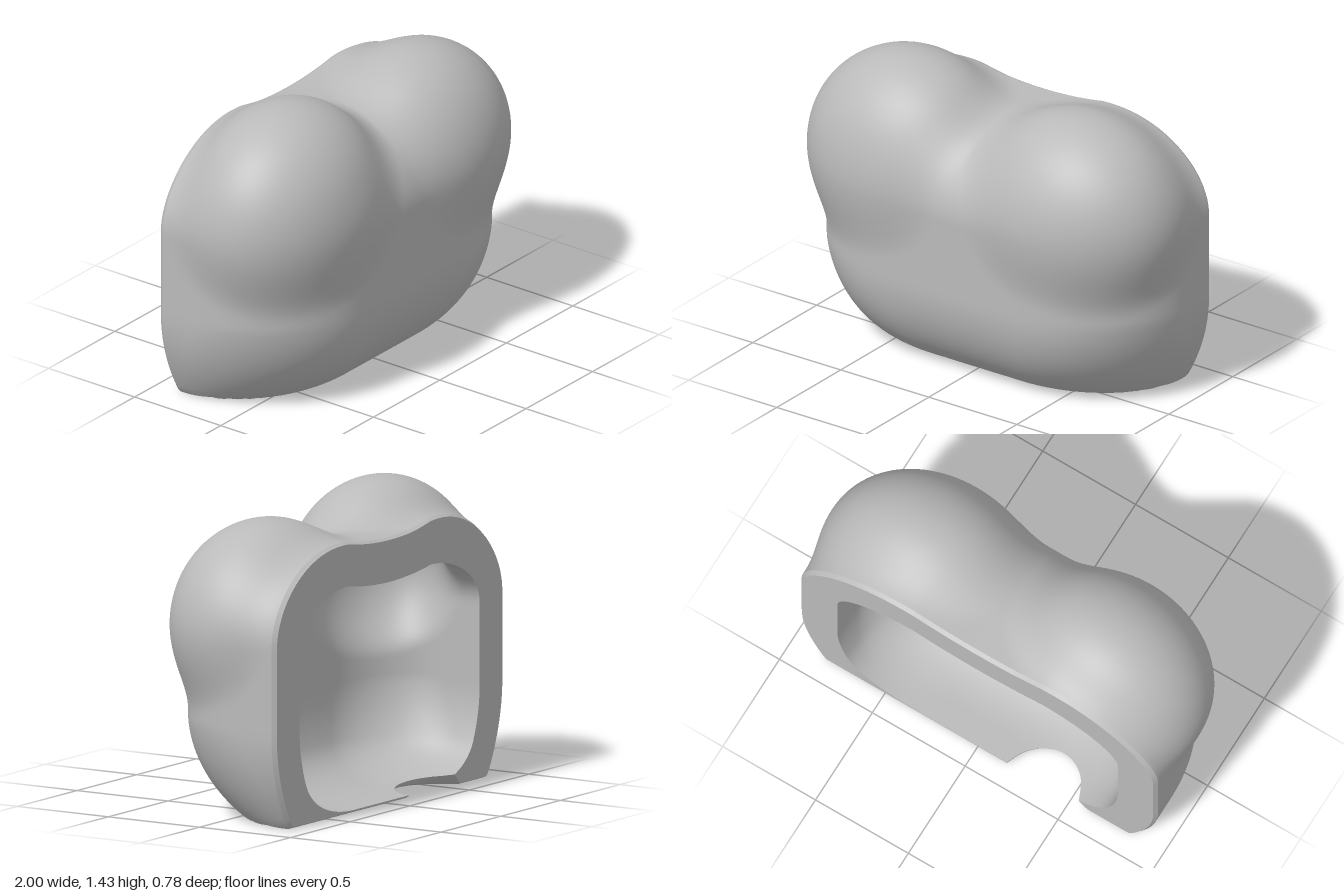
import * as THREE from 'three';
import { toCreasedNormals } from 'three/addons/utils/BufferGeometryUtils.js';

const COLS = 240, ROWS = 64, BACK = -0.39, BEVEL = 0.02, HUB_Y = 0.6;

// sizes of the two skins: w half width, taper at the foot, top height, front depth,
// rx ry rz corner radii (ry below, rt above), bump shrink, floor height and floor softness
const OUTER = { w: 0.96, taper: 0.13, top: 1.24, front: 0.345, rx: 0.58, ry: 0.5, rz: 0.42, rt: 0.42, shrink: 0, floor: 0, soft: 0.01 };
const INNER = { w: 0.755, taper: 0.16, top: 1.035, front: 0.15, rx: 0.42, ry: 0.46, rz: 0.24, rt: 0.24, shrink: 0.165, floor: 0.015, soft: 0.18 };

// distance to an ellipsoid bump
function bump(x, y, z, cx, cy, cz, rx, ry, rz) {
  const a = x - cx, b = y - cy, c = z - cz;
  const k0 = Math.hypot(a / rx, b / ry, c / rz);
  const k1 = Math.hypot(a / rx ** 2, b / ry ** 2, c / rz ** 2);
  return k1 < 1e-6 ? -Math.min(rx, ry, rz) : k0 * (k0 - 1) / k1;
}

// soft union of two distances
function blend(a, b, k) {
  const h = Math.max(k - Math.abs(a - b), 0) / k;
  return Math.min(a, b) - h * h * k / 4;
}

// rounded body, open towards the back, curving in towards its foot
function body(x, y, z, s) {
  const foot = Math.min(1, Math.max(0, 1 - y / 0.45));
  const width = s.w - s.taper * foot * foot;
  const low = Math.min(Math.max(0.45 - y, 0) / s.ry, 0.99);
  const front = s.front - s.rz + s.rz * Math.sqrt(1 - low * low);
  const start = -0.18 - 0.19 * foot;
  const top = s.top + 0.03 * Math.min(1, (x / 0.35) ** 2);
  const qx = Math.max(Math.abs(x) - (width - s.rx), 0) / s.rx;
  const qy = Math.max(y - (top - s.rt), 0) / s.rt;
  const qz = Math.max(z - start, 0) / (front - start);
  return (Math.hypot(qx, qy, qz) - 1) * s.rt;
}

// whole form of one skin
function field(x, y, z, s) {
  const k = s.shrink;
  const rightBump = bump(x, y, z, -0.48, 0.93, -0.03, 0.514 - k, 0.5 - k, 0.417 - k);
  const leftBump = bump(x, y, z, 0.48, 0.9, -0.03, 0.514 - k, 0.47 - k, 0.413 - k);
  const form = blend(body(x, y, z, s), Math.min(rightBump, leftBump), 0.09);
  return -blend(-form, y - s.floor, s.soft);
}

// angle at which the skin starts, raised where the floor is notched
function startAngle(phi) {
  const s = Math.sin(phi);
  if (s > -0.3) return 0;
  const x = -HUB_Y * Math.cos(phi) / s;
  const t = (x + 0.58) / 0.41;
  if (t <= 0 || t >= 1) return 0;
  const depth = 0.18 * Math.sqrt(Math.sin(Math.PI * t));
  return Math.atan(depth * -s / HUB_Y);
}

// point where a ray from the hub meets the form
function hit(phi, v, skin, hubZ) {
  const dx = Math.cos(phi) * Math.cos(v), dy = Math.sin(phi) * Math.cos(v), dz = Math.sin(v);
  let lo = 0, hi = 2;
  for (let i = 0; i < 26; i++) {
    const m = (lo + hi) / 2;
    if (field(dx * m, HUB_Y + dy * m, hubZ + dz * m, skin) < 0) lo = m; else hi = m;
  }
  return new THREE.Vector3(dx * lo, HUB_Y + dy * lo, hubZ + dz * lo);
}

// rows of points running from the front pole to the back opening
function skinRows(skin, hubZ) {
  const rows = [];
  for (let i = 0; i <= ROWS; i++) {
    const row = [];
    for (let j = 0; j < COLS; j++) {
      const phi = j / COLS * Math.PI * 2, v0 = startAngle(phi);
      const v = i === 0 ? Math.PI / 2 : Math.PI / 2 + (v0 - Math.PI / 2) * i / ROWS;
      row.push(hit(i === 0 ? 0 : phi, v, skin, hubZ));
    }
    rows.push(row);
  }
  return rows;
}

// closed bands of quads between successive rows
function loft(rows, crease) {
  const positions = [], index = [];
  rows.forEach(row => row.forEach(p => positions.push(p.x, p.y, p.z)));
  for (let i = 0; i < rows.length - 1; i++) {
    for (let j = 0; j < COLS; j++) {
      const k = (j + 1) % COLS;
      const a = i * COLS + j, b = a + COLS, c = (i + 1) * COLS + k, d = i * COLS + k;
      if (rows[i + 1][j].distanceTo(rows[i + 1][k]) > 1e-6) index.push(a, b, c);
      if (rows[i][j].distanceTo(rows[i][k]) > 1e-6) index.push(a, c, d);
    }
  }
  const geometry = new THREE.BufferGeometry();
  geometry.setAttribute('position', new THREE.Float32BufferAttribute(positions, 3));
  geometry.setIndex(index);
  return toCreasedNormals(geometry, crease);
}

export function createModel() {
  const group = new THREE.Group();
  group.name = 'hollowShell';
  const grey = new THREE.MeshStandardMaterial({ color: 0xbababa });
  grey.name = 'plain grey';

  const outer = skinRows(OUTER, BACK + BEVEL);
  const inner = skinRows(INNER, BACK);
  const outerEdge = outer[ROWS], innerEdge = inner[ROWS];

  // small bevel around the back edge
  const bevelEdge = outerEdge.map(p => new THREE.Vector3(
    p.x * 0.985, HUB_Y + (p.y - HUB_Y) * 0.985, p.z - BEVEL));

  const add = (name, rows, crease) => {
    const mesh = new THREE.Mesh(loft(rows, crease), grey);
    mesh.name = name;
    group.add(mesh);
  };
  add('outerShell', outer, 0.6);
  add('backRim', [outerEdge, bevelEdge, innerEdge], 0.5);
  add('innerCavity', inner.slice().reverse(), 0.6);
  return group;
}
